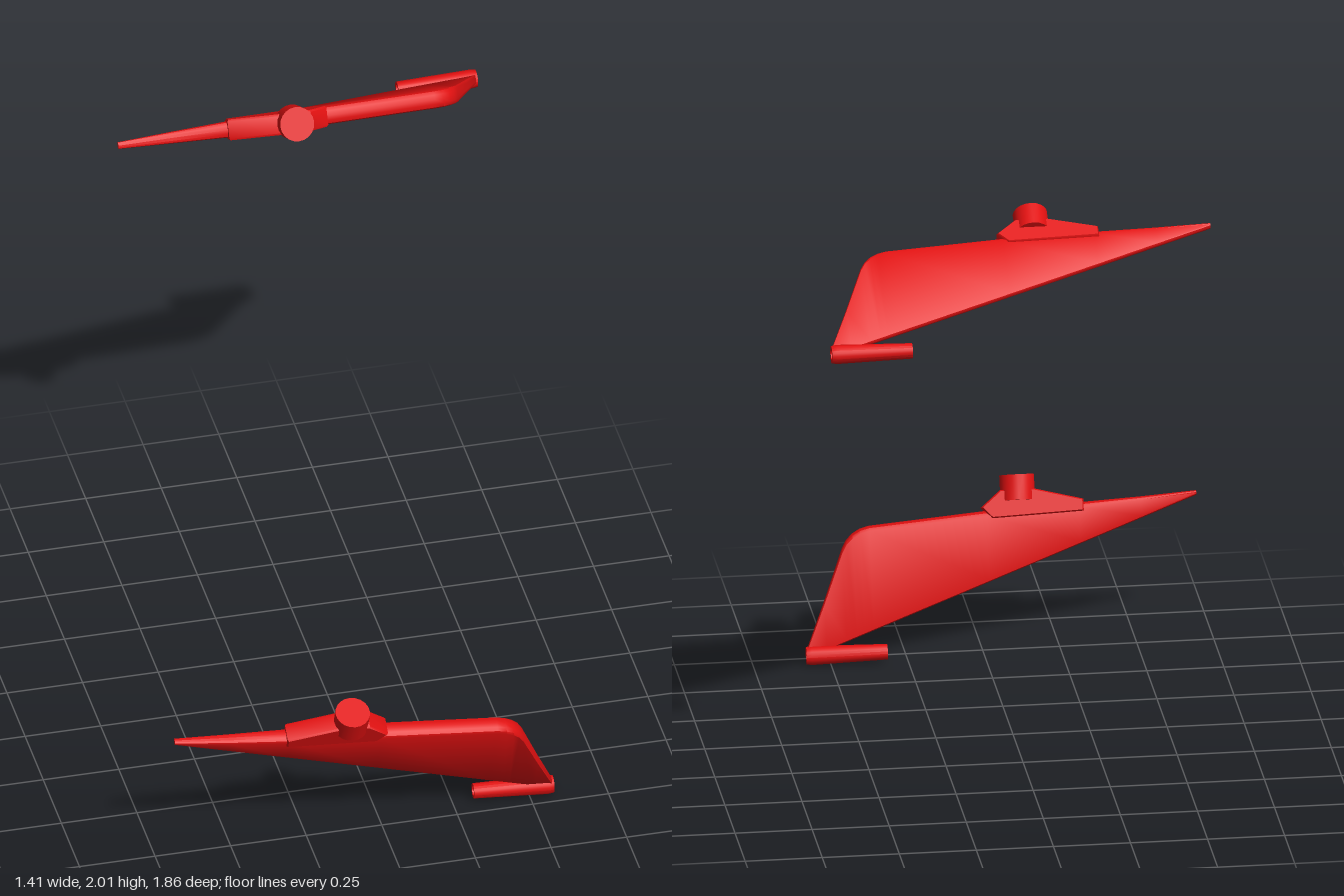
import * as THREE from 'three';
import { toCreasedNormals } from 'three/addons/utils/BufferGeometryUtils.js';

const red = new THREE.MeshStandardMaterial({ color: 0xe01010 });

function part(name, geometry, crease = 0.6) {
  const mesh = new THREE.Mesh(toCreasedNormals(geometry, crease), red);
  mesh.name = name;
  return mesh;
}

// Blade lofted from upright sections: [x, top edge height, half thickness]
function bladeGeometry() {
  const edge = [
    [-1.28, 0.47, 0.011], [-1.1, 0.459, 0.019], [-0.9, 0.45, 0.027], [-0.6, 0.437, 0.03],
    [-0.22, 0.408, 0.03], [-0.19, 0.4, 0.03], [-0.165, 0.386, 0.029], [-0.145, 0.366, 0.028],
    [-0.13, 0.34, 0.027], [-0.065, 0.175, 0.02], [-0.005, 0.03, 0.014],
  ];
  const arc = 6, ring = 2 * (arc + 1);
  const pos = [], index = [];
  for (const [x, top, r] of edge) {
    const bottom = 0.455 - 0.363 * (x + 1.28);
    for (let end = 0; end < 2; end++) {
      const rad = end ? 0.01 : r;
      const y = end ? bottom + rad * 0.6 : top - rad * 0.6;
      for (let i = 0; i <= arc; i++) {
        const a = Math.PI * (end + i / arc);
        pos.push(x, y + Math.sin(a) * rad * 0.6, Math.cos(a) * rad);
      }
    }
  }
  const last = (edge.length - 1) * ring;
  for (let s = 0; s < edge.length - 1; s++) {
    for (let i = 0; i < ring; i++) {
      const a = s * ring + i, b = s * ring + (i + 1) % ring;
      index.push(a, b, a + ring, b, b + ring, a + ring);
    }
  }
  // close both ends
  for (let i = 1; i < ring - 1; i++) {
    index.push(0, i + 1, i, last, last + i, last + i + 1);
  }
  // flip the winding if needed so the faces point outward
  const geo = new THREE.BufferGeometry();
  geo.setAttribute('position', new THREE.Float32BufferAttribute(pos, 3));
  const p = (i) => new THREE.Vector3().fromArray(pos, i * 3);
  let volume = 0;
  for (let i = 0; i < index.length; i += 3) {
    volume += p(index[i]).dot(p(index[i + 1]).cross(p(index[i + 2])));
  }
  geo.setIndex(volume < 0 ? index.reverse() : index);
  return geo;
}

function makeFin(name) {
  const fin = new THREE.Group();
  fin.name = name;
  fin.add(part('blade', bladeGeometry()));

  // Hollow, slightly tapered tube at the lower corner
  const profile = [[0.016, 0], [0.025, 0], [0.031, 0.245], [0.028, 0.262], [0.016, 0.262], [0.016, 0]]
    .map(([r, y]) => new THREE.Vector2(r, y));
  const tube = part('tube', new THREE.LatheGeometry(profile, 20));
  tube.rotation.z = -Math.PI / 2;
  tube.position.x = -0.26;
  fin.add(tube);

  // Raised mount that carries the peg
  const outline = [[-0.91, 0.425], [-0.62, 0.415], [-0.59, 0.447], [-0.65, 0.497], [-0.755, 0.497], [-0.91, 0.457]]
    .map(([x, y]) => new THREE.Vector2(x, y));
  const mount = new THREE.ExtrudeGeometry(new THREE.Shape(outline), {
    depth: 0.056, bevelThickness: 0.006, bevelSize: 0.004, bevelSegments: 1,
  });
  mount.translate(0, 0, -0.028);
  fin.add(part('pegMount', mount));

  // Round peg on the long edge
  const peg = part('peg', new THREE.CylinderGeometry(0.056, 0.056, 0.082, 20));
  peg.position.set(-0.705, 0.507, 0);
  fin.add(peg);
  return fin;
}

export function createModel() {
  const model = new THREE.Group();
  model.name = 'finPair';

  const upper = makeFin('upperFin');
  upper.position.set(0.705, 1.7, -0.897);
  upper.rotation.set(1.07, 0, 0);

  const lower = makeFin('lowerFin');
  lower.position.set(0.577, 0.036, 0.697);
  lower.rotation.set(0.41, -0.058, 0);

  model.add(upper, lower);
  return model;
}
